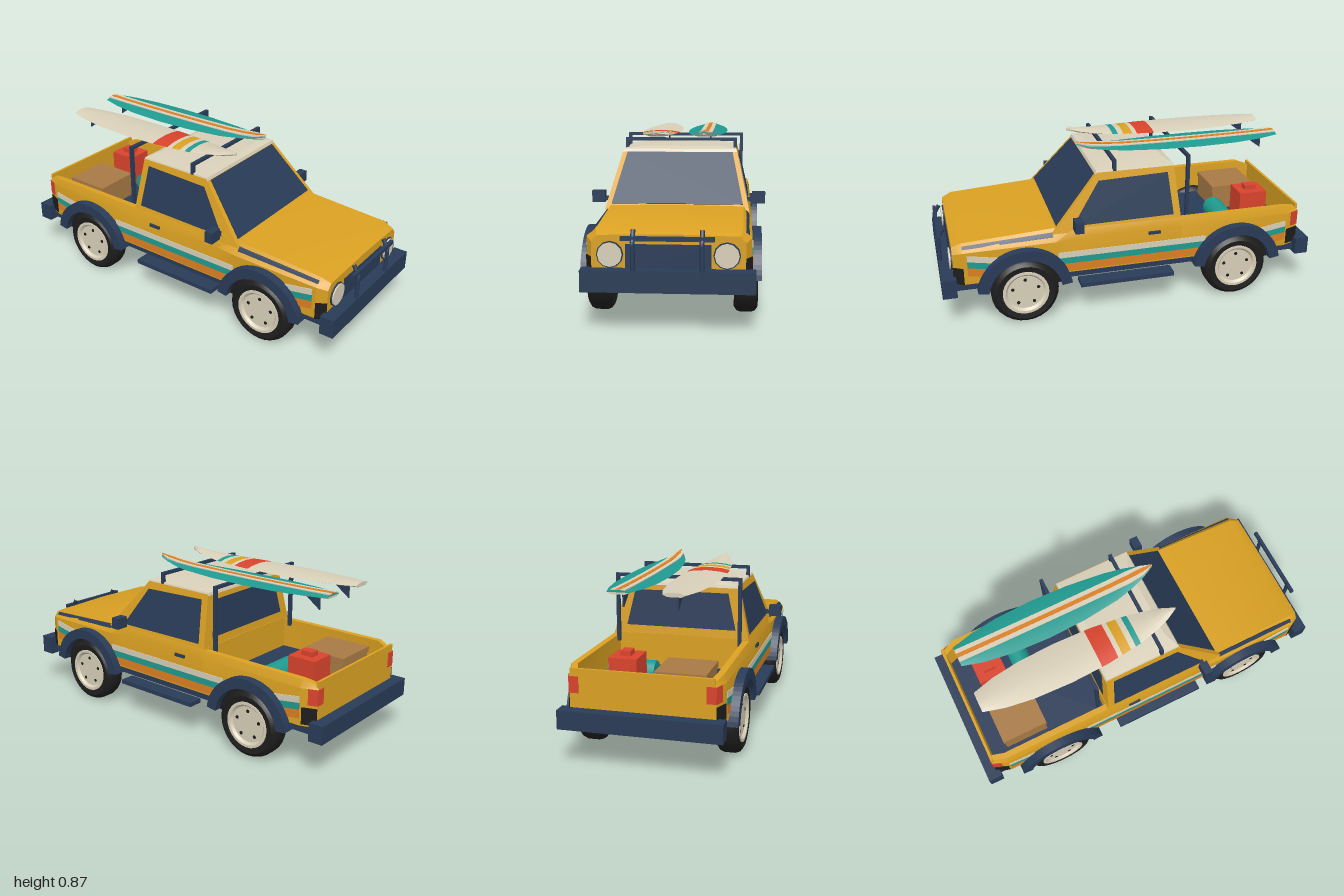
import * as THREE from 'three';
import { toCreasedNormals } from 'three/addons/utils/BufferGeometryUtils.js';

const material = (name, color) => Object.assign(new THREE.MeshStandardMaterial({ color }), { name });
const yellow = material('yellow paint', 0xd9a022);
const navy = material('navy trim', 0x293b57);
const black = material('black rubber', 0x1d1d1d);
const cream = material('cream', 0xd8cfb8);
const teal = material('teal', 0x1f9a90);
const orange = material('orange', 0xdb7f22);
const red = material('red', 0xd8432c);
const tan = material('tan', 0xa87a45);

export function createModel() {
  const model = new THREE.Group();
  model.name = 'pickupTruck';

  const add = (name, geo, mat) => {
    const mesh = new THREE.Mesh(geo, mat);
    mesh.name = name;
    model.add(mesh);
    return mesh;
  };
  // box given by its limits on each axis
  const box = (name, mat, x0, x1, y0, y1, z0, z1) => add(name,
    new THREE.BoxGeometry(Math.abs(x1 - x0), y1 - y0, Math.abs(z1 - z0))
      .translate((x0 + x1) / 2, (y0 + y1) / 2, (z0 + z1) / 2), mat);

  // closed solid through rings of [x, y, z]; faces are turned outward by the sign of the volume
  const loft = (name, mat, rings, crease = 0.5) => {
    const n = rings[0].length, tris = [];
    for (let i = 0; i < rings.length - 1; i++) for (let j = 0; j < n; j++) {
      const k = (j + 1) % n, a = rings[i], b = rings[i + 1];
      tris.push([a[j], a[k], b[k]], [a[j], b[k], b[j]]);
    }
    const first = rings[0], last = rings[rings.length - 1];
    for (let j = 1; j < n - 1; j++) {
      tris.push([first[0], first[j + 1], first[j]], [last[0], last[j], last[j + 1]]);
    }
    const [ox, oy, oz] = first[0];
    let volume = 0;
    for (const t of tris) {
      const [a, b, c] = t.map(p => new THREE.Vector3(p[0] - ox, p[1] - oy, p[2] - oz));
      volume += a.dot(b.cross(c));
    }
    if (volume < 0) tris.forEach(t => t.reverse());
    const geo = new THREE.BufferGeometry();
    geo.setAttribute('position', new THREE.Float32BufferAttribute(tris.flat(2), 3));
    return add(name, toCreasedNormals(geo, crease), mat);
  };
  // thin plate around a flat outline
  const plate = (name, mat, pts, t = 0.004) => {
    const [a, b, c] = pts.map(p => new THREE.Vector3(...p));
    const n = b.sub(a).cross(c.sub(a)).normalize().multiplyScalar(t);
    const shift = s => pts.map(p => [p[0] + n.x * s, p[1] + n.y * s, p[2] + n.z * s]);
    return loft(name, mat, [shift(-1), shift(1)]);
  };
  const mirrored = half => [...half, ...half.slice().reverse().filter(p => p[0] > 0).map(([x, y, z]) => [-x, y, z])];

  // front body and sill: [z, side half-width, top half-width, top height, shoulder height]
  loft('frontBody', yellow, [
    [0.93, 0.35, 0.325, 0.44, 0.41], [0.88, 0.378, 0.335, 0.463, 0.425],
    [0.41, 0.38, 0.34, 0.492, 0.43], [0.3, 0.38, 0.363, 0.492, 0.44], [-0.265, 0.38, 0.365, 0.485, 0.44],
  ].map(([z, w, wt, y, ys]) => mirrored([[w, 0.25, z], [w, ys, z], [wt, y, z], [0, y + 0.007, z]])));
  box('chassis', navy, -0.36, 0.36, 0.21, 0.26, -0.93, 0.92);

  // cab: half-width, front and rear position at each height
  const k = y => (y - 0.485) / 0.27;
  const cabX = y => 0.365 - 0.062 * k(y);
  const cabFront = y => 0.41 - 0.235 * k(y);
  const cabRear = y => -0.262 + 0.025 * k(y);
  const rect = (x, y, z0, z1) => [[x, y, z1], [x, y, z0], [-x, y, z0], [-x, y, z1]];
  loft('cab', yellow, [0.47, 0.755].map(y => rect(cabX(y), y, cabRear(y), cabFront(y))), 0.1);
  loft('roof', cream, [rect(0.304, 0.748, -0.24, 0.184), rect(0.298, 0.763, -0.236, 0.178),
    rect(0.21, 0.776, -0.2, 0.14)], 0.3);
  const crossWindow = (name, y0, y1, inset, zAt) => plate(name, navy,
    [[1, y0], [1, y1], [-1, y1], [-1, y0]].map(([s, y]) => [s * (cabX(y) - inset), y, zAt(y)]));
  crossWindow('windshield', 0.5, 0.745, 0.026, cabFront);
  crossWindow('rearWindow', 0.53, 0.72, 0.06, cabRear);

  // bed
  box('bedFloor', navy, -0.34, 0.34, 0.26, 0.32, -0.925, -0.26);
  box('tailgate', yellow, -0.345, 0.345, 0.25, 0.478, -0.94, -0.926);
  box('crate', tan, -0.275, -0.035, 0.32, 0.43, -0.835, -0.595);
  box('crateLid', tan, -0.28, -0.03, 0.43, 0.46, -0.84, -0.59);
  box('fuelCan', red, 0.06, 0.2, 0.32, 0.505, -0.82, -0.665);
  box('fuelCanHandle', red, 0.105, 0.155, 0.505, 0.53, -0.775, -0.71);
  add('bedroll', new THREE.CylinderGeometry(0.055, 0.055, 0.24, 16).rotateZ(Math.PI / 2).translate(0.16, 0.375, -0.565), teal);

  // front and rear fittings
  box('frontBumper', navy, -0.395, 0.395, 0.19, 0.29, 0.92, 0.995);
  box('rearBumper', navy, -0.395, 0.395, 0.195, 0.288, -1, -0.925);
  box('grille', navy, -0.195, 0.195, 0.27, 0.4, 0.925, 0.934);
  box('bullBarCross', navy, -0.21, 0.21, 0.425, 0.445, 0.972, 0.99);
  box('frontRackBar', navy, -0.302, 0.302, 0.8, 0.816, 0.072, 0.09);
  box('rearRackBar', navy, -0.335, 0.335, 0.8, 0.816, -0.314, -0.296);

  // half-ring over a wheel
  const arch = (name, mat, outer, inner, s, z, x0, x1) => {
    const shape = new THREE.Shape();
    shape.absarc(0, 0, outer, 0.15, Math.PI - 0.15, false);
    shape.absarc(0, 0, inner, Math.PI - 0.15, 0.15, true);
    const geo = new THREE.ExtrudeGeometry(shape, { depth: x1 - x0, bevelEnabled: false, curveSegments: 14 });
    add(name, geo.rotateY(Math.PI / 2).translate(s > 0 ? x0 : -x1, 0.175, z), mat);
  };
  const lathe = (pts, s) => toCreasedNormals(new THREE.LatheGeometry(pts.map(p => new THREE.Vector2(...p)), 28), 0.6)
    .rotateZ(-s * Math.PI / 2);

  for (const s of [1, -1]) {
    // bed wall with tapered rear corner
    loft('bedWall', yellow, [[-0.25, 0.38, 0.48], [-0.86, 0.38, 0.48], [-0.94, 0.35, 0.455]].map(([z, w, y]) =>
      [[w, 0.25, z], [w, 0.44, z], [w - 0.013, y, z], [w - 0.045, y, z], [w - 0.05, 0.25, z]].map(([x, py, pz]) => [s * x, py, pz])));

    plate('sideWindow', navy, [[0.5, 0.315], [0.715, 0.168], [0.725, -0.2], [0.505, -0.222]].map(([y, z]) => [s * cabX(y), y, z]));
    plate('hoodSeam', navy, [[0.352, 0.474, 0.42], [0.366, 0.452, 0.42], [0.362, 0.437, 0.88], [0.349, 0.451, 0.88]]
      .map(([x, y, z]) => [s * x, y, z]));
    box('doorHandle', navy, s * 0.375, s * 0.39, 0.415, 0.43, -0.145, -0.08);
    box('mirror', navy, s * 0.382, s * 0.45, 0.495, 0.555, 0.275, 0.32);
    box('mirrorArm', navy, s * 0.345, s * 0.39, 0.505, 0.525, 0.29, 0.31);
    box('runningBoard', navy, s * 0.34, s * 0.42, 0.172, 0.195, -0.215, 0.29);
    box('frontRackPost', navy, s * 0.284, s * 0.302, 0.75, 0.812, 0.072, 0.09);
    box('rearRackPost', navy, s * 0.317, s * 0.335, 0.45, 0.812, -0.314, -0.296);

    // corner plates and tail lights following the tapered corners
    const corner = (name, mat, y0, y1, z0, x0, z1, x1) => plate(name, mat,
      [[s * x0, y0, z0], [s * x0, y1, z0], [s * x1, y1, z1], [s * x1, y0, z1]]);
    corner('frontCorner', black, 0.25, 0.34, 0.88, 0.378, 0.93, 0.35);
    corner('rearCorner', black, 0.26, 0.345, -0.87, 0.377, -0.94, 0.35);
    corner('sideTailLight', red, 0.36, 0.44, -0.897, 0.366, -0.94, 0.35);
    box('tailLight', red, s * 0.305, s * 0.35, 0.36, 0.44, -0.944, -0.936);

    // headlight
    const lamp = (name, mat, r, z) => add(name, new THREE.CylinderGeometry(r, r, 0.012, 12).rotateX(Math.PI / 2)
      .translate(s * 0.265, 0.352, z), mat);
    lamp('headlightRing', navy, 0.062, 0.931);
    lamp('headlight', cream, 0.056, 0.938);

    // bull bar upright
    const path = new THREE.CurvePath();
    const pts = [[0.25, 0.985], [0.42, 0.985], [0.47, 0.955]].map(([y, z]) => new THREE.Vector3(s * 0.155, y, z));
    path.add(new THREE.LineCurve3(pts[0], pts[1]));
    path.add(new THREE.LineCurve3(pts[1], pts[2]));
    add('bullBarUpright', new THREE.TubeGeometry(path, 12, 0.011, 8), navy);

    // side stripes: level between the wheels, rising to both ends
    for (const [mat, y0, y1] of [[cream, 0.336, 0.368], [teal, 0.302, 0.336], [orange, 0.258, 0.302]]) {
      for (const [z0, d0, z1, d1] of [[0.86, 0.042, 0.7, 0.012], [0.4, 0, -0.4, 0], [-0.7, 0.005, -0.86, 0.03]]) {
        plate('sideStripe', mat, [[s * 0.38, y0 + d0, z0], [s * 0.38, y1 + d0, z0], [s * 0.38, y1 + d1, z1], [s * 0.38, y0 + d1, z1]], 0.003);
      }
    }

    // wheels, liners and flares
    for (const z of [0.577, -0.573]) {
      arch('fenderFlare', navy, 0.245, 0.19, s, z, 0.35, 0.425);
      arch('archLiner', black, 0.21, 0.1, s, z, 0.345, 0.386);
      const x = s * 0.3525;
      add('tire', lathe([[0, -0.05], [0.12, -0.05], [0.15, -0.0575], [0.168, -0.045], [0.175, -0.028], [0.175, 0.028],
        [0.168, 0.045], [0.15, 0.0575], [0.12, 0.052], [0.118, 0.03]], s), black).position.set(x, 0.175, z);
      add('wheelRim', lathe([[0.12, 0.03], [0.12, 0.057], [0.106, 0.057], [0.094, 0.044], [0, 0.044]], s), cream)
        .position.set(x, 0.175, z);
      for (let i = 0; i < 5; i++) {
        const a = i * Math.PI * 0.4 + 0.3;
        add('wheelHole', new THREE.CylinderGeometry(0.009, 0.009, 0.006, 8).rotateZ(Math.PI / 2)
          .translate(x + s * 0.044, 0.175 + 0.07 * Math.sin(a), z + 0.07 * Math.cos(a)), black);
      }
    }
  }

  // surfboards: [z, half-width, height of the rail line]
  const outline = [[-0.86, 0.055, 0.829], [-0.75, 0.085, 0.826], [-0.6, 0.106, 0.824], [-0.4, 0.114, 0.823], [-0.2, 0.107, 0.824],
    [0, 0.084, 0.827], [0.1, 0.061, 0.833], [0.18, 0.034, 0.842], [0.24, 0.003, 0.852]];
  const at = z => {
    const i = Math.max(1, outline.findIndex(p => p[0] >= z)), a = outline[i - 1], b = outline[i];
    const t = (z - a[0]) / (b[0] - a[0]);
    return [a[1] + (b[1] - a[1]) * t, a[2] + (b[2] - a[2]) * t];
  };
  const deckHalf = [[-1, 0], [-0.6, 0.008], [0, 0.012], [0.6, 0.008], [1, 0]];
  const bellyHalf = [[-1, 0], [-0.6, -0.01], [0.6, -0.01], [1, 0]];
  const boardPart = (name, mat, x, z0, z1, profile) => {
    const zs = [z0, ...outline.map(p => p[0]).filter(z => z > z0 && z < z1), z1];
    loft(name, mat, zs.map(z => { const [w, y] = at(z); return profile.map(([u, v]) => [x + u * w, y + v, z]); }), 0.6);
  };
  const bands = [[-0.86, cream], [-0.23, red], [-0.135, cream], [-0.11, yellow], [-0.06, cream], [-0.03, teal], [0, cream], [0.24]];
  for (let i = 0; i < bands.length - 1; i++) {
    boardPart('creamBoardDeck', bands[i][1], -0.135, bands[i][0], bands[i + 1][0], deckHalf);
  }
  boardPart('tealBoardDeck', teal, 0.13, -0.86, 0.24, deckHalf);
  const stripe = (name, mat, half, top) => loft(name, mat, outline.map(([z, w, y]) => {
    const h = Math.min(half, w * 0.8);
    return [[0.13 - h, y + 0.005, z], [0.13 - h, y + top, z], [0.13 + h, y + top, z], [0.13 + h, y + 0.005, z]];
  }));
  stripe('boardStripe', cream, 0.035, 0.0135);
  stripe('boardStringer', orange, 0.011, 0.0155);
  for (const x of [-0.135, 0.13]) {
    boardPart('boardBelly', cream, x, -0.86, 0.24, bellyHalf);
    plate('boardFin', navy, [[x, 0.818, -0.69], [x, 0.818, -0.79], [x, 0.745, -0.79]]);
  }
  return model;
}
